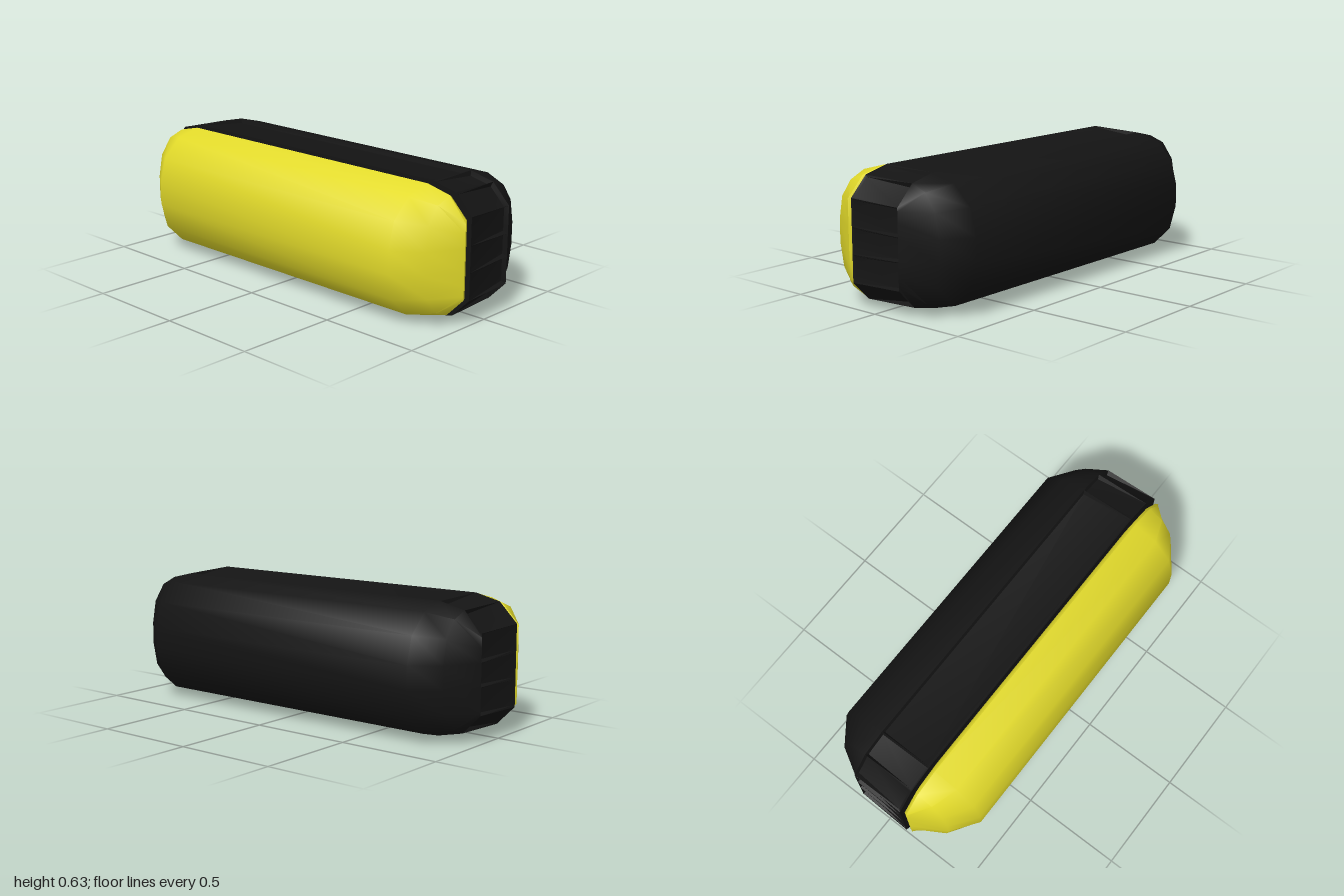
import * as THREE from 'three';
import { toCreasedNormals } from 'three/addons/utils/BufferGeometryUtils.js';

const MID = 0.317;  // height of the centre line
const SEAM = 0.155; // depth at which the rounded faces begin

// Corner outline of the body, counter-clockwise seen from +z
const quarter = [[1, 0.055], [1, 0.185], [0.908, 0.278], [0.78, 0.308]];
const half = [...quarter, ...quarter.map(([x, y]) => [-x, y]).reverse()];
const outline = [...half, ...half.map(([x, y]) => [-x, -y])];

// Outline grown by an offset and placed at depth z
const ring = (offset, z) => outline.map(([x, y]) =>
  new THREE.Vector3(x + Math.sign(x) * offset, y + Math.sign(y) * offset, z));

function meshFromQuads(name, quads, material, crease) {
  const points = quads.flatMap(([a, b, c, d]) => [a, b, c, a, c, d]);
  const geometry = new THREE.BufferGeometry().setFromPoints(points);
  const mesh = new THREE.Mesh(toCreasedNormals(geometry, crease), material);
  mesh.name = name;
  return mesh;
}

// Rows of points joined by quads
function loft(rows, closed) {
  const quads = [];
  for (let i = 0; i < rows.length - 1; i++) {
    const n = rows[i].length;
    for (let j = 0; j < (closed ? n : n - 1); j++) {
      const k = (j + 1) % n;
      quads.push([rows[i][j], rows[i][k], rows[i + 1][k], rows[i + 1][j]]);
    }
  }
  return quads;
}

// Rounded face: half profiles along x, shrinking at both ends
function pillow(name, material) {
  const stations = [
    [-1, 0.185, 0], [-0.908, 0.278, 0.16], [-0.78, 0.308, 0.254],
    [0.78, 0.308, 0.254], [0.908, 0.278, 0.16], [1, 0.185, 0],
  ];
  const rows = stations.map(([x, h, depth]) => {
    const arc = [0, 1, 2, 3].map((i) => {
      const a = i * Math.PI / 6;
      return new THREE.Vector3(x, 0.055 + (h - 0.055) * Math.cos(a), SEAM + depth * Math.sin(a));
    });
    const lower = arc.map((p) => new THREE.Vector3(p.x, -p.y, p.z)).reverse();
    return [...arc, ...lower];
  });
  return meshFromQuads(name, loft(rows, false), material, 1.1);
}

// Flat plate closing an outline
function plate(name, offset, z, material) {
  const shape = new THREE.Shape(ring(offset, 0).map((p) => new THREE.Vector2(p.x, p.y)));
  const mesh = new THREE.Mesh(new THREE.ShapeGeometry(shape), material);
  mesh.position.z = z;
  mesh.name = name;
  return mesh;
}

// Side band: every facet carries a shallow panel that sinks towards the back
function panelBand(material) {
  const quads = [];
  for (const corners of loft([ring(0, -SEAM), ring(0.008, 0.125)], true)) {
    const [a, b, , d] = corners;
    const along = b.clone().sub(a).normalize();
    const inward = d.clone().sub(a).cross(along).normalize();
    const floor = corners.map((p, i) => p.clone()
      .addScaledVector(along, i === 0 || i === 3 ? 0.01 : -0.01)
      .addScaledVector(inward, i < 2 ? 0.022 : 0.004)
      .add(new THREE.Vector3(0, 0, i < 2 ? 0.006 : -0.012)));
    quads.push(floor);
    for (let i = 0; i < 4; i++) {
      const k = (i + 1) % 4;
      quads.push([corners[i], corners[k], floor[k], floor[i]]);
    }
  }
  return meshFromQuads('sideBand', quads, material, 0.4);
}

export function createModel() {
  const yellow = new THREE.MeshStandardMaterial({ color: 0xe2da2a });
  const black = new THREE.MeshStandardMaterial({ color: 0x141414, side: THREE.DoubleSide });

  // Front cover with a rounded lip behind it
  const cover = new THREE.Group();
  cover.name = 'frontCover';
  const lip = loft([ring(-0.045, 0.128), ring(-0.006, 0.14), ring(0, SEAM)], true);
  const coverBack = plate('coverBack', -0.045, -0.128, yellow);
  coverBack.rotation.y = Math.PI;
  coverBack.position.z = 0.128;
  cover.add(pillow('coverFace', yellow), meshFromQuads('coverLip', lip, yellow, 1.1), coverBack);

  // Rear body
  const body = new THREE.Group();
  body.name = 'rearBody';
  const back = pillow('bodyBack', black);
  back.rotation.y = Math.PI;
  body.add(back, panelBand(black), plate('bodyFront', 0.008, 0.125, black));

  const model = new THREE.Group();
  model.name = 'capsuleCase';
  model.add(cover, body);
  model.children.forEach((part) => { part.position.y = MID; });
  return model;
}
